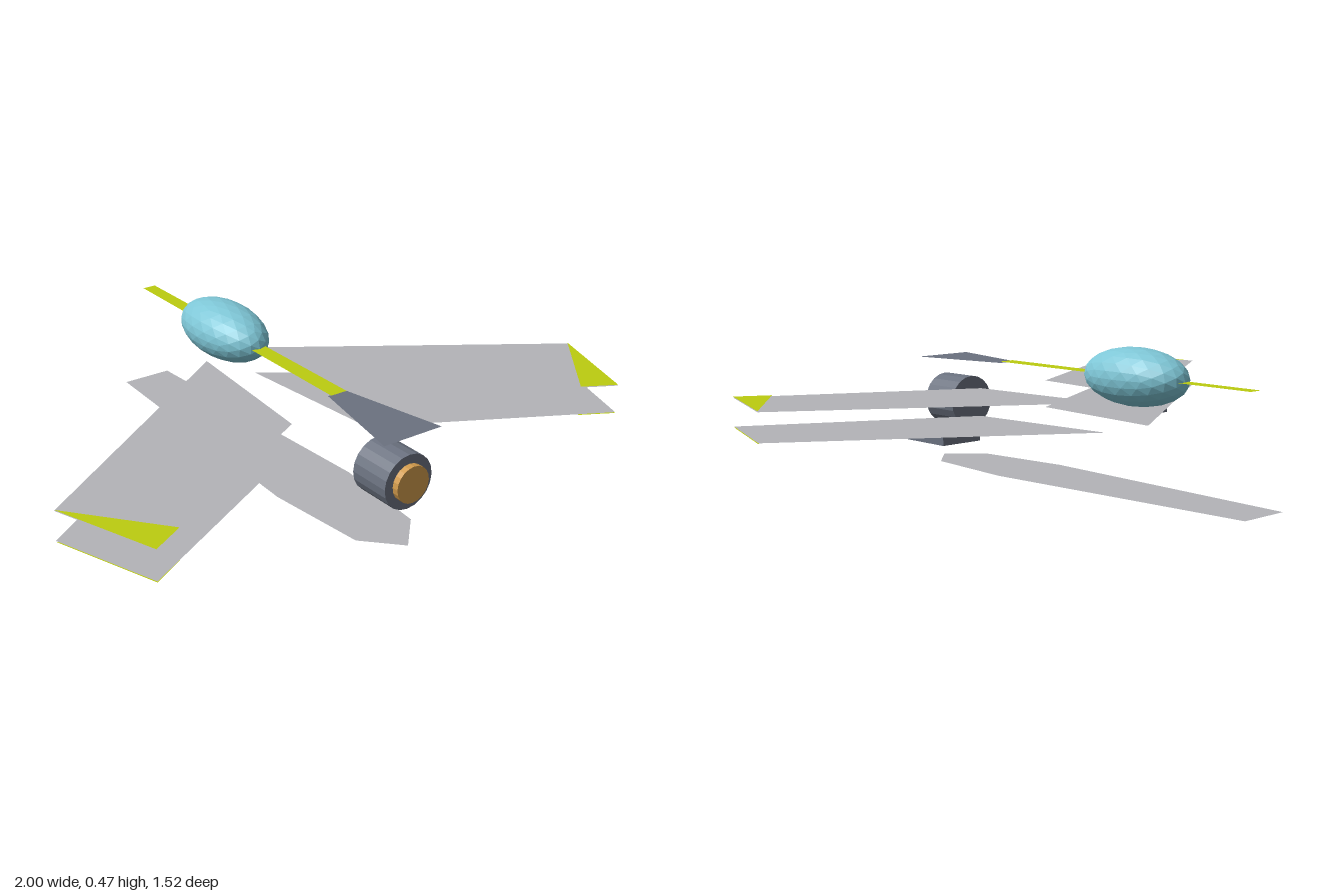
import * as THREE from 'three';

const mat = (name, color, extra = {}) => {
  const m = new THREE.MeshStandardMaterial({ color, ...extra });
  m.name = name;
  return m;
};

export function createModel() {
  const model = new THREE.Group();
  model.name = 'aircraft';
  const thin = { side: THREE.DoubleSide };
  const grey = mat('hullGrey', 0xb3b4b8, thin);
  const slate = mat('slate', 0x6b7280, { ...thin, flatShading: true });
  const lime = mat('lime', 0xbccc10, thin);
  const glass = mat('canopyBlue', 0x7ec6d6, { flatShading: true });
  const amber = mat('nozzleAmber', 0xd09a4c, { flatShading: true });

  const add = (name, geometry, material, x = 0, y = 0, z = 0, parent = model) => {
    const mesh = new THREE.Mesh(geometry, material);
    mesh.name = name;
    mesh.position.set(x, y, z);
    parent.add(mesh);
    return mesh;
  };

  // Flat horizontal panel from [x, z] corners
  const panel = (points) => {
    const shape = new THREE.Shape(points.map(([x, z]) => new THREE.Vector2(x, -z)));
    return new THREE.ShapeGeometry(shape).rotateX(-Math.PI / 2);
  };
  // Mirrors a half outline running from back to front
  const mirrored = (half) =>
    panel([...half, ...half.filter(([x]) => x > 0).reverse().map(([x, z]) => [-x, z])]);

  // Body underside, dorsal stripe and tail panel
  add('bodyPanel', mirrored([[0.09, -0.76], [0.145, 0.28], [0.11, 0.635], [0, 0.75]]), grey);
  add('dorsalStripe', mirrored([[0.024, -0.72], [0.03, 0.4]]), lime, 0, 0.374, 0);
  add('tailPanel', mirrored([[0.035, 0.39], [0.11, 0.75]]), slate, 0, 0.37, 0);

  // Wings: upper and lower skins, lime tips and underwing pods
  const wing = [[0.1, -0.19], [1, 0.41], [0.88, 0.75], [0.15, 0.36]];
  const tip = [[1, 0.41], [0.88, 0.75], [0.77, 0.69]];
  for (const s of [1, -1]) {
    const side = new THREE.Group();
    side.name = s > 0 ? 'leftWing' : 'rightWing';
    model.add(side);
    const flip = (pts) => panel(pts.map(([x, z]) => [s * x, z]));
    add('upperSkin', flip(wing), grey, 0, 0.295, 0, side);
    add('lowerSkin', flip(wing), grey, 0, 0.199, 0, side);
    add('upperTip', flip(tip), lime, 0, 0.298, 0, side);
    add('lowerTip', flip(tip), lime, 0, 0.196, 0, side);
    add('pod', new THREE.BoxGeometry(0.15, 0.029, 0.27), slate, s * 0.445, 0.184, 0.245, side);
  }

  // Faceted canopy
  add('canopy', new THREE.IcosahedronGeometry(1, 3).scale(0.113, 0.096, 0.21), glass, 0, 0.374, -0.23);

  // Engine barrel with nozzle disc
  const drum = (r, length) => new THREE.CylinderGeometry(r, r, length, 20).rotateX(Math.PI / 2);
  add('engine', drum(0.091, 0.148), slate, 0, 0.213, 0.664);
  add('nozzle', drum(0.061, 0.06), amber, 0, 0.213, 0.73);

  return model;
}
